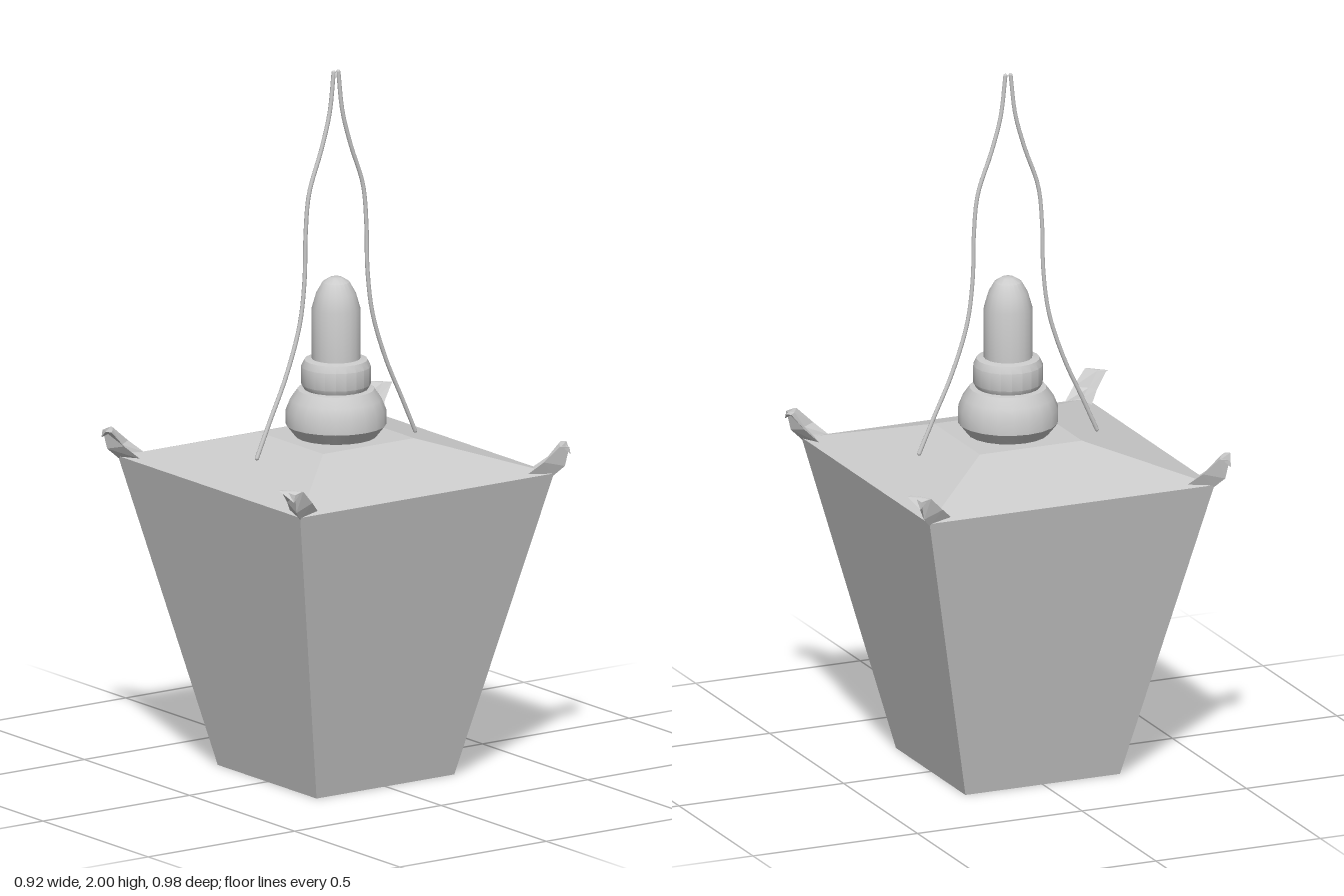
import * as THREE from 'three';
import { toCreasedNormals } from 'three/addons/utils/BufferGeometryUtils.js';

const smooth = new THREE.MeshStandardMaterial({ color: 0xcccccc, side: THREE.DoubleSide });
const flat = new THREE.MeshStandardMaterial({ color: 0xcccccc, flatShading: true, side: THREE.DoubleSide });

function part(name, geometry, material) {
  const mesh = new THREE.Mesh(geometry, material);
  mesh.name = name;
  return mesh;
}

const points = (list) => list.map(([r, y]) => new THREE.Vector2(r, y));

// Square shell: the profile gives half widths and heights
function squareLathe(profile) {
  const scaled = profile.map(([w, y]) => [w * Math.SQRT2, y]);
  return new THREE.LatheGeometry(points(scaled), 4, Math.PI / 4).toNonIndexed();
}

// Skin a row of four-cornered sections and cap both ends
function loft(sections) {
  const n = sections[0].length;
  const index = [];
  for (let s = 0; s < sections.length - 1; s++) {
    for (let i = 0; i < n; i++) {
      const a = s * n + i, b = s * n + (i + 1) % n;
      index.push(a, b, a + n, b, b + n, a + n);
    }
  }
  const e = (sections.length - 1) * n;
  index.push(0, 2, 1, 0, 3, 2, e, e + 1, e + 2, e, e + 2, e + 3);
  const g = new THREE.BufferGeometry();
  g.setAttribute('position', new THREE.Float32BufferAttribute(sections.flat(2), 3));
  g.setIndex(index);
  const out = g.toNonIndexed();
  out.computeVertexNormals();
  return out;
}

export function createModel() {
  const model = new THREE.Group();
  model.name = 'hangingLantern';

  // Tapered walls with a thin rim, open below
  const walls = squareLathe([[0.415, 0.865], [0.221, 0], [0.235, 0], [0.433, 0.872]]);
  walls.computeVertexNormals();
  model.add(part('walls', walls, flat));

  // Shallow hipped roof with a flat top
  const roof = squareLathe([[0.433, 0.872], [0.155, 0.957], [0, 0.957]]);
  roof.computeVertexNormals();
  model.add(part('roof', roof, flat));

  // Turned finial
  const finial = new THREE.LatheGeometry(points([
    [0.112, 0.955], [0.14, 0.99], [0.14, 1.03], [0.127, 1.062], [0.107, 1.09],
    [0.09, 1.092], [0.097, 1.105], [0.097, 1.155], [0.088, 1.174],
    [0.068, 1.178], [0.068, 1.32], [0.055, 1.365], [0.038, 1.395], [0.018, 1.408], [0, 1.41],
  ]), 20);
  model.add(part('finial', toCreasedNormals(finial, 0.5), smooth));

  // Curled bracket on each roof corner, folded along the middle
  const horn = loft([
    [[0.355, 0.876, 0.413], [0.41, 0.884, 0.41], [0.413, 0.876, 0.358], [0.432, 0.866, 0.432]],
    [[0.388, 0.91, 0.445], [0.416, 0.908, 0.432], [0.438, 0.91, 0.395], [0.45, 0.893, 0.458]],
    [[0.402, 0.952, 0.478], [0.42, 0.953, 0.46], [0.455, 0.952, 0.438], [0.458, 0.947, 0.468]],
    [[0.413, 0.953, 0.49], [0.421, 0.954, 0.465], [0.455, 0.953, 0.444], [0.458, 0.926, 0.472]],
  ]);
  for (const sx of [1, -1]) {
    for (const sz of [1, -1]) {
      const bracket = part('cornerBracket', horn, flat);
      bracket.scale.set(sx, 1, sz);
      model.add(bracket);
    }
  }

  // Two bowed hanging wires meeting at the top
  const path = [
    [0.27, 0.93], [0.225, 1.03], [0.17, 1.15], [0.124, 1.29], [0.107, 1.42], [0.104, 1.54],
    [0.092, 1.66], [0.05, 1.78], [0.022, 1.88], [0.008, 1.995],
  ];
  for (const s of [1, -1]) {
    const curve = new THREE.CatmullRomCurve3(path.map(([z, y]) => new THREE.Vector3(0, y, s * z)));
    const wire = new THREE.Group();
    wire.name = 'hangingWire';
    wire.add(part('wire', new THREE.TubeGeometry(curve, 40, 0.006, 8), smooth));
    for (const i of [0, path.length - 1]) {
      const end = part('wireEnd', new THREE.SphereGeometry(0.006, 8, 6), smooth);
      end.position.set(0, path[i][1], s * path[i][0]);
      wire.add(end);
    }
    model.add(wire);
  }
  return model;
}
